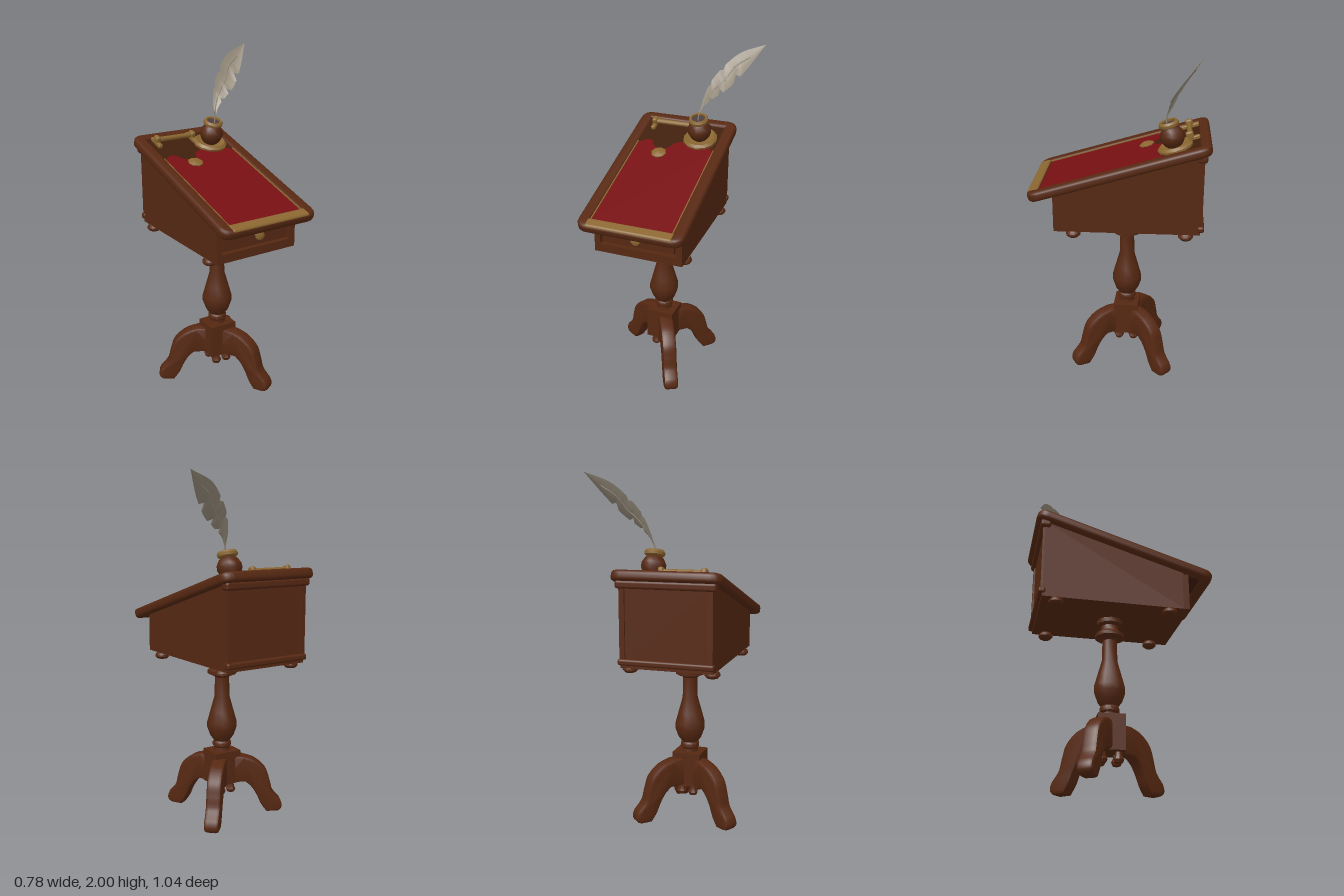
import * as THREE from 'three';
import { RoundedBoxGeometry } from 'three/addons/geometries/RoundedBoxGeometry.js';
import { toCreasedNormals } from 'three/addons/utils/BufferGeometryUtils.js';

const material = (name, color, side = THREE.FrontSide) => {
  const m = new THREE.MeshStandardMaterial({ color, side });
  m.name = name;
  return m;
};
const v2 = (pts) => pts.map(([a, b]) => new THREE.Vector2(a, b));
const v3 = (pts) => pts.map((p) => new THREE.Vector3(...p));

export function createModel() {
  const wood = material('brown wood', 0x562812);
  const darkWood = material('dark wood', 0x3f1e0c);
  const red = material('red leather', 0x760f12);
  const gold = material('aged brass', 0x8a6630);
  const vane = material('feather grey', 0x958b7a, THREE.DoubleSide);
  const ink = material('ink glass', 0x4c3c40);

  const model = new THREE.Group();
  model.name = 'writingDesk';
  const add = (parent, name, geometry, mat, x = 0, y = 0, z = 0) => {
    const mesh = new THREE.Mesh(geometry, mat);
    mesh.name = name;
    mesh.position.set(x, y, z);
    parent.add(mesh);
    return mesh;
  };
  const box = (w, h, d) => new THREE.BoxGeometry(w, h, d);
  const lathe = (pts, n = 12) => toCreasedNormals(new THREE.LatheGeometry(v2(pts), n), 0.7);

  // Pedestal: turned column, square block, three cabriole legs
  const pedestal = new THREE.Group();
  pedestal.name = 'pedestal';
  pedestal.position.set(-0.063, 0, -0.045);
  model.add(pedestal);
  add(pedestal, 'column', lathe([
    [0, 0.37], [0.05, 0.37], [0.045, 0.41], [0.055, 0.42], [0.055, 0.44], [0.048, 0.45],
    [0.07, 0.48], [0.088, 0.53], [0.088, 0.565], [0.07, 0.63], [0.045, 0.72], [0.042, 0.84],
    [0.06, 0.85], [0.085, 0.86], [0.085, 0.88], [0.055, 0.9], [0.05, 0.93], [0.075, 0.94],
    [0.075, 0.967], [0, 0.967]]), wood);
  add(pedestal, 'legBlock', box(0.17, 0.2, 0.15), wood, 0, 0.29, 0);

  const legShape = new THREE.Shape();
  legShape.moveTo(0.02, 0.34);
  legShape.lineTo(0.12, 0.34);
  legShape.splineThru(v2([[0.19, 0.315], [0.25, 0.26], [0.275, 0.19], [0.295, 0.12], [0.34, 0.065]]));
  legShape.quadraticCurveTo(0.365, 0.02, 0.33, 0.016);
  legShape.lineTo(0.28, 0.016);
  legShape.splineThru(v2([[0.25, 0.06], [0.225, 0.115], [0.19, 0.17], [0.15, 0.205]]));
  legShape.lineTo(0.02, 0.21);
  const legGeometry = toCreasedNormals(new THREE.ExtrudeGeometry(legShape, {
    depth: 0.05, bevelSize: 0.016, bevelThickness: 0.018, bevelSegments: 2, curveSegments: 8,
  }).translate(0, 0, -0.025), 0.7);
  for (const degrees of [60, -48, 209]) {
    add(pedestal, 'leg', legGeometry, wood).rotation.y = -degrees * Math.PI / 180;
  }
  const finial = lathe([[0, 0.125], [0.022, 0.132], [0.03, 0.15], [0.02, 0.17], [0.018, 0.2]], 8);
  for (const x of [-0.035, 0.035]) {
    for (const z of [-0.045, 0.045]) add(pedestal, 'finial', finial, wood, x, 0, z);
  }

  // Desk case with a sloping top, turned slightly on its pedestal
  const desk = new THREE.Group();
  desk.name = 'desk';
  desk.position.x = -0.06;
  desk.rotation.y = 0.038;
  model.add(desk);
  const side = new THREE.Shape(v2([[-0.33, 0.965], [0.47, 0.965], [0.47, 1.435], [-0.33, 1.2]]));
  const caseGeometry = new THREE.ExtrudeGeometry(side, { depth: 0.52, bevelEnabled: false });
  add(desk, 'case', caseGeometry.translate(0, 0, -0.26).rotateY(Math.PI / 2), wood);

  // Drawer front inside a raised frame
  add(desk, 'frameBottom', box(0.52, 0.05, 0.035), wood, 0, 0.99, 0.3425);
  add(desk, 'frameTop', box(0.52, 0.04, 0.035), wood, 0, 1.165, 0.3425);
  for (const s of [-1, 1]) add(desk, 'frameSide', box(0.035, 0.22, 0.035), wood, s * 0.2425, 1.075, 0.3425);
  add(desk, 'drawer', box(0.42, 0.11, 0.02), wood, 0, 1.08, 0.337);
  const knob = lathe([[0, 0], [0.014, 0], [0.012, 0.025], [0.028, 0.035], [0.026, 0.05], [0, 0.06]], 10);
  add(desk, 'drawerKnob', knob, gold, 0, 1.09, 0.345).rotation.x = Math.PI / 2;

  // Back mouldings and bun feet
  add(desk, 'backMouldingTop', new RoundedBoxGeometry(0.56, 0.045, 0.06, 2, 0.015), wood, 0, 1.42, -0.465);
  add(desk, 'backMouldingBottom', new RoundedBoxGeometry(0.54, 0.035, 0.04, 2, 0.012), wood, 0, 1.0, -0.472);
  for (const s of [-1, 1]) {
    add(desk, 'backStile', box(0.03, 0.4, 0.012), wood, s * 0.245, 1.2, -0.474);
  }
  const foot = lathe([[0, 0.928], [0.03, 0.928], [0.042, 0.94], [0.042, 0.952], [0.03, 0.967]], 10);
  for (const x of [-0.235, 0.235]) {
    for (const z of [0.25, -0.39]) add(desk, 'bunFoot', foot, wood, x, 0, z);
  }

  // Sloping lid: bevelled rim around a sunken panel
  const lid = new THREE.Group();
  lid.name = 'lid';
  lid.position.y = 1.35;
  lid.rotation.x = 0.293;
  desk.add(lid);
  const [w, l, c] = [0.287, 0.512, 0.045];
  const rim = new THREE.Shape();
  rim.moveTo(-w + c, -l);
  rim.lineTo(w - c, -l);
  rim.quadraticCurveTo(w, -l, w, -l + c);
  rim.lineTo(w, l - c);
  rim.quadraticCurveTo(w, l, w - c, l);
  rim.lineTo(-w + c, l);
  rim.quadraticCurveTo(-w, l, -w, l - c);
  rim.lineTo(-w, -l + c);
  rim.quadraticCurveTo(-w, -l, -w + c, -l);
  rim.holes.push(new THREE.Path(v2([[-0.252, -0.487], [-0.252, 0.477], [0.252, 0.477], [0.252, -0.487]])));
  const rimGeometry = new THREE.ExtrudeGeometry(rim, {
    depth: 0.02, bevelSize: 0.018, bevelThickness: 0.018, bevelSegments: 3, curveSegments: 4,
  }).rotateX(Math.PI / 2).translate(0, -0.018, 0);
  add(lid, 'lidRim', toCreasedNormals(rimGeometry, 0.7), wood);
  add(lid, 'lidPanel', box(0.52, 0.035, 0.99), darkWood, 0, -0.0335, -0.005);
  add(lid, 'frontTrim', new RoundedBoxGeometry(0.5, 0.03, 0.064, 2, 0.013), gold, 0, -0.012, 0.495);
  for (const s of [-1, 1]) add(lid, 'sideTrim', box(0.008, 0.008, 0.7), gold, s * 0.236, -0.011, 0.11);

  // Leather writing surface with a scalloped upper edge
  const leather = new THREE.Shape();
  leather.moveTo(-0.232, 0.465);
  leather.lineTo(-0.232, -0.225);
  leather.quadraticCurveTo(-0.185, -0.295, -0.14, -0.25);
  leather.quadraticCurveTo(-0.13, -0.2, -0.075, -0.2);
  leather.quadraticCurveTo(-0.03, -0.205, -0.02, -0.255);
  leather.quadraticCurveTo(0.03, -0.3, 0.12, -0.29);
  leather.quadraticCurveTo(0.2, -0.29, 0.232, -0.225);
  leather.lineTo(0.232, 0.465);
  const leatherGeometry = new THREE.ExtrudeGeometry(leather, { depth: 0.005, bevelEnabled: false });
  add(lid, 'leather', leatherGeometry.rotateX(Math.PI / 2), red, 0, -0.012, 0);
  add(lid, 'boss', lathe([[0.045, 0], [0.045, 0.008], [0.025, 0.018], [0, 0.02]], 8), gold, -0.074, -0.014, -0.157);

  // Pen rest: rod between two stands
  const rod = new THREE.CylinderGeometry(0.015, 0.015, 0.25, 8).rotateZ(Math.PI / 2);
  add(lid, 'penRestRod', rod, gold, -0.07, 0.014, -0.42);
  for (const x of [-0.19, 0.048]) {
    add(lid, 'penRestBase', new RoundedBoxGeometry(0.028, 0.025, 0.11, 2, 0.008), gold, x, -0.006, -0.42);
    add(lid, 'penRestStand', new RoundedBoxGeometry(0.032, 0.05, 0.045, 2, 0.012), gold, x, 0.013, -0.42);
  }

  // Inkwell on a round brass saucer
  const well = new THREE.Group();
  well.name = 'inkwell';
  well.position.set(0.127, -0.014, -0.33);
  lid.add(well);
  add(well, 'saucer', lathe([[0.1, 0], [0.102, 0.014], [0.088, 0.028], [0.07, 0.016], [0, 0.016]]), gold);
  add(well, 'pot', lathe([
    [0.04, 0.014], [0.058, 0.035], [0.07, 0.065], [0.068, 0.09], [0.052, 0.118], [0.038, 0.13],
    [0.038, 0.145]]), wood);
  add(well, 'lip', lathe([
    [0.04, 0.128], [0.056, 0.135], [0.058, 0.15], [0.05, 0.162], [0.04, 0.16], [0.04, 0.128]]), gold);
  add(well, 'inkSurface', new THREE.CylinderGeometry(0.041, 0.041, 0.006, 12), ink, 0, 0.146, 0);

  // Quill: curled vane between two edge curves, with a thin shaft
  const edgeA = new THREE.CatmullRomCurve3(v3([
    [0.062, 1.61, -0.272], [0.072, 1.69, -0.312], [0.1, 1.78, -0.347], [0.155, 1.86, -0.385],
    [0.245, 1.945, -0.43], [0.385, 2, -0.457]]));
  const edgeB = new THREE.CatmullRomCurve3(v3([
    [0.064, 1.61, -0.268], [0.095, 1.665, -0.282], [0.15, 1.715, -0.29], [0.215, 1.765, -0.31],
    [0.295, 1.86, -0.365], [0.385, 2, -0.457]]));
  const notches = [9, 14, 20];
  const rows = 28, cols = 4, positions = [], index = [], spine = [];
  for (let i = 0; i <= rows; i++) {
    const a = edgeA.getPoint(i / rows), b = edgeB.getPoint(i / rows);
    if (notches.includes(i)) b.lerp(a, 0.25);
    if (i === 11 || i === 17) a.lerp(b, 0.12);
    const bow = a.distanceTo(b) * 0.1;
    for (let j = 0; j <= cols; j++) {
      const p = a.clone().lerp(b, j / cols);
      const lift = bow * Math.sin(Math.PI * j / cols);
      p.x += lift * 0.6;
      p.z -= lift * 0.8;
      positions.push(p.x, p.y, p.z);
      if (j === cols / 2) spine.push(p);
      if (i < rows && j < cols) {
        const k = i * (cols + 1) + j;
        index.push(k, k + 1, k + cols + 1, k + 1, k + cols + 2, k + cols + 1);
      }
    }
  }
  const vaneGeometry = new THREE.BufferGeometry();
  vaneGeometry.setAttribute('position', new THREE.Float32BufferAttribute(positions, 3));
  vaneGeometry.setIndex(index);
  vaneGeometry.computeVertexNormals();
  add(model, 'featherVane', vaneGeometry, vane);
  const shaft = new THREE.CatmullRomCurve3([
    new THREE.Vector3(0.055, 1.55, -0.275), ...spine.filter((p, i) => i % 4 === 0 && i < 25)]);
  add(model, 'featherShaft', new THREE.TubeGeometry(shaft, 24, 0.004, 5), vane);

  return model;
}
